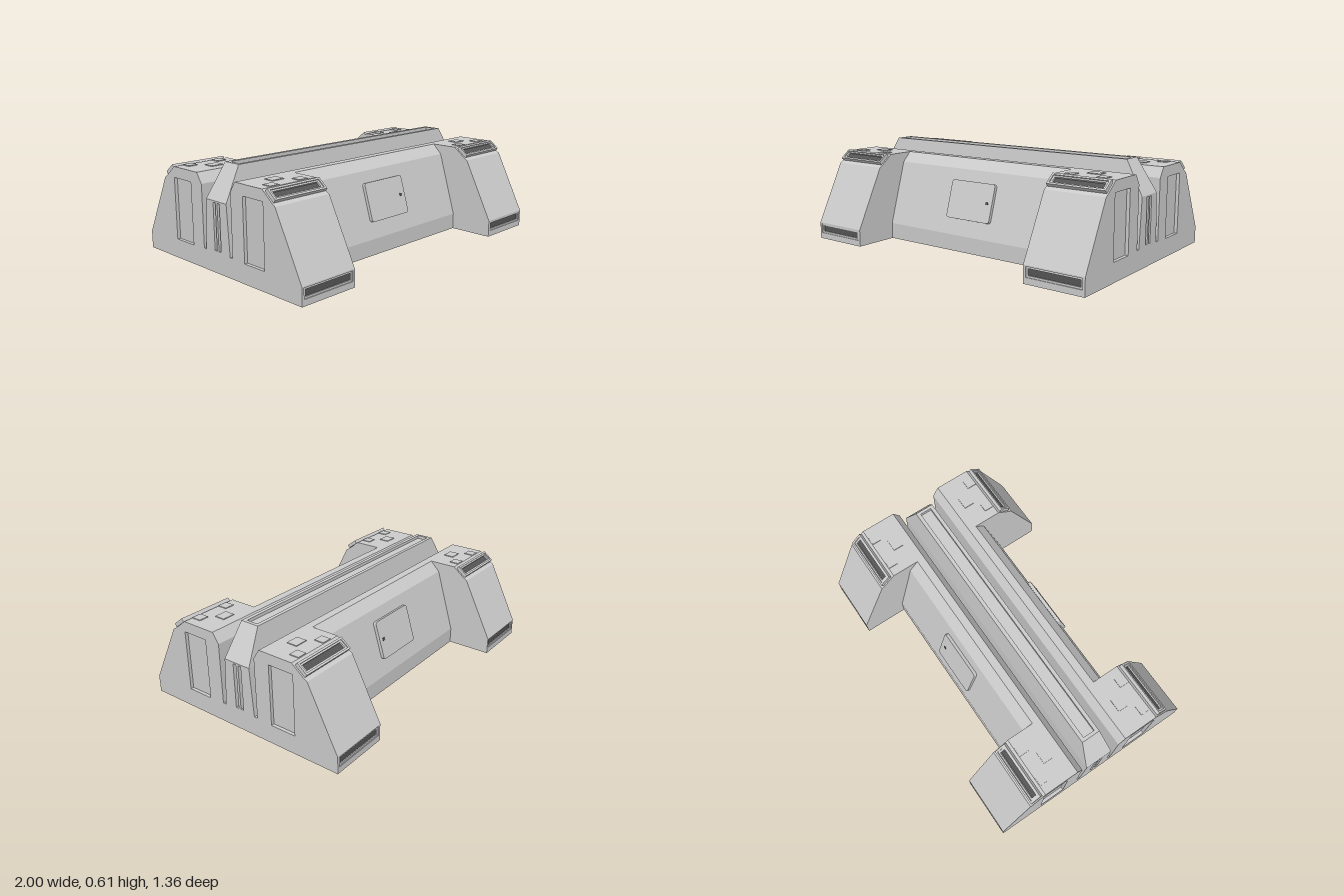
import * as THREE from 'three';

const grey = new THREE.MeshStandardMaterial({ color: 0xcccccc, flatShading: true });
const dark = new THREE.MeshStandardMaterial({ color: 0x555555, flatShading: true });

function add(parent, name, geometry, x = 0, y = 0, z = 0, material = grey) {
  const mesh = new THREE.Mesh(geometry, material);
  mesh.name = name;
  mesh.position.set(x, y, z);
  parent.add(mesh);
  return mesh;
}

const box = (w, h, d) => new THREE.BoxGeometry(w, h, d);
const extrude = (shape, depth) => new THREE.ExtrudeGeometry(shape, { depth, bevelEnabled: false, curveSegments: 5 });
const rectPoints = (x0, y0, x1, y1) =>
  [[x0, y0], [x1, y0], [x1, y1], [x0, y1]].map(p => new THREE.Vector2(...p));

// Closed cross-section made from its front half, mirrored to the back
function mirroredShape(half) {
  const back = half.map(([z, y]) => [-z, y]).reverse();
  return new THREE.Shape([...half, ...back].map(p => new THREE.Vector2(...p)));
}

// Extrude a side cross-section along x, from x0 to x1
const alongX = (shape, x0, x1) => extrude(shape, x1 - x0).rotateY(Math.PI / 2).translate(x0, 0, 0);

// Rectangular plate with a rectangular opening, centred on its own origin
function framePlate(w, h, holeW, holeH, depth) {
  const shape = new THREE.Shape(rectPoints(-w / 2, -h / 2, w / 2, h / 2));
  shape.holes.push(new THREE.Path(rectPoints(-holeW / 2, -holeH / 2, holeW / 2, holeH / 2)));
  return extrude(shape, depth);
}

// Stack of rectangular rings [y, halfX, halfZ], closed on the last one
function rectLoft(rings) {
  const pos = [], index = [];
  for (const [y, x, z] of rings) pos.push(-x, y, z, x, y, z, x, y, -z, -x, y, -z);
  for (let r = 0; r < rings.length - 1; r++) {
    for (let i = 0; i < 4; i++) {
      const a = r * 4 + i, b = r * 4 + (i + 1) % 4;
      index.push(a, b, b + 4, a, b + 4, a + 4);
    }
  }
  const t = (rings.length - 1) * 4;
  index.push(t, t + 1, t + 2, t, t + 2, t + 3);
  const geometry = new THREE.BufferGeometry();
  geometry.setAttribute('position', new THREE.Float32BufferAttribute(pos, 3));
  geometry.setIndex(index);
  const flat = geometry.toNonIndexed();
  flat.computeVertexNormals();
  return flat;
}

// Slots and lower spine shared by every cross-section
const inner = [[0.17, 0.55], [0.13, 0.49], [0.13, 0.12], [0.108, 0.12], [0.09, 0.415]];
const middleHalf = [[0.4, 0], [0.4, 0.1], [0.28, 0.49], [0.22, 0.55], ...inner];
const towerHalf = [[0.665, 0], [0.665, 0.105], [0.68, 0.105], [0.492, 0.475], [0.472, 0.487], [0.393, 0.55], ...inner];

// Vent: frame, recessed inner lip and dark back, facing +z
function vent(name) {
  const g = new THREE.Group();
  g.name = name;
  add(g, 'ventFrame', framePlate(0.36, 0.08, 0.335, 0.056, 0.022));
  add(g, 'ventLip', framePlate(0.335, 0.056, 0.31, 0.036, 0.016));
  add(g, 'ventOpening', box(0.31, 0.036, 0.006), 0, 0, 0.003, dark);
  return g;
}

// Raised access hatch with rounded corners
function hatch(lockX) {
  const w = 0.165, h = 0.118, r = 0.02;
  const s = new THREE.Shape();
  s.moveTo(-w + r, -h);
  s.lineTo(w - r, -h); s.quadraticCurveTo(w, -h, w, -h + r);
  s.lineTo(w, h - r); s.quadraticCurveTo(w, h, w - r, h);
  s.lineTo(-w + r, h); s.quadraticCurveTo(-w, h, -w, h - r);
  s.lineTo(-w, -h + r); s.quadraticCurveTo(-w, -h, -w + r, -h);
  const g = new THREE.Group();
  g.name = 'hatch';
  add(g, 'hatchPanel', extrude(s, 0.02));
  add(g, 'hatchLock', box(0.018, 0.018, 0.004), lockX, 0, 0.021, dark);
  return g;
}

export function createModel() {
  const model = new THREE.Group();
  model.name = 'barrier';

  add(model, 'middleBody', alongX(mirroredShape(middleHalf), -0.625, 0.625));

  // Raised spine with sloped ends and a shallow trough on top
  add(model, 'spine', rectLoft([
    [0.415, 1, 0.09], [0.61, 0.885, 0.06], [0.61, 0.865, 0.037], [0.59, 0.865, 0.037],
  ]));

  // End towers, each with an outer layer cut by door and slot recesses
  const cut = mirroredShape(towerHalf);
  for (const s of [-1, 1]) {
    cut.holes.push(new THREE.Path(rectPoints(s * 0.315 - 0.082, 0.115, s * 0.315 + 0.082, 0.485)));
    cut.holes.push(new THREE.Path(rectPoints(s * 0.018 - 0.01, 0.13, s * 0.018 + 0.01, 0.405)));
  }
  const solid = mirroredShape(towerHalf);
  for (const s of [-1, 1]) {
    const [name, a, b, c] = s > 0 ? ['left', 0.625, 0.98, 1] : ['right', -0.98, -0.625, -1];
    add(model, name + 'Towers', alongX(solid, a, b));
    add(model, name + 'EndFace', alongX(cut, Math.min(s * 0.98, c), Math.max(s * 0.98, c)));
    for (const t of [-1, 1]) add(model, 'slotBar', box(0.006, 0.22, 0.006), s * 0.984, 0.24, t * 0.018);
  }

  // Details repeated on the front and the back
  for (const side of [1, -1]) {
    const face = new THREE.Group();
    face.name = side > 0 ? 'frontDetails' : 'backDetails';
    if (side < 0) face.rotation.y = Math.PI;
    model.add(face);

    const door = hatch(side * 0.127);
    door.position.set(0, 0.308, 0.336);
    door.rotation.x = -0.298;
    face.add(door);

    for (const x of [-0.8125, 0.8125]) {
      // Foot plate with a recessed vent
      const foot = add(face, 'footPlate', framePlate(0.375, 0.105, 0.345, 0.06, 0.015), x, 0.0525, 0.665);
      foot.geometry.translate(0, 0.015, 0);
      foot.geometry.dispose();
      foot.geometry = footGeometry();
      add(face, 'footVentLip', framePlate(0.345, 0.06, 0.32, 0.038, 0.01), x, 0.067, 0.665);
      add(face, 'footVentOpening', box(0.32, 0.038, 0.004), x, 0.067, 0.667, dark);

      // Tilted vent on the shoulder
      const upper = vent('shoulderVent');
      upper.position.set(x, 0.515, 0.441);
      upper.rotation.x = -0.9;
      face.add(upper);

      // Thin plates on the tower top
      add(face, 'topPlate', box(0.08, 0.006, 0.065), x, 0.552, 0.267);
      for (const d of [-0.1, 0.1]) add(face, 'topTab', box(0.06, 0.006, 0.06), x + d, 0.552, 0.36);
    }
  }
  return model;
}

// Foot plate outline with its opening set towards the top
function footGeometry() {
  const shape = new THREE.Shape(rectPoints(-0.1875, -0.0525, 0.1875, 0.0525));
  shape.holes.push(new THREE.Path(rectPoints(-0.1725, -0.0155, 0.1725, 0.0445)));
  return extrude(shape, 0.015);
}
